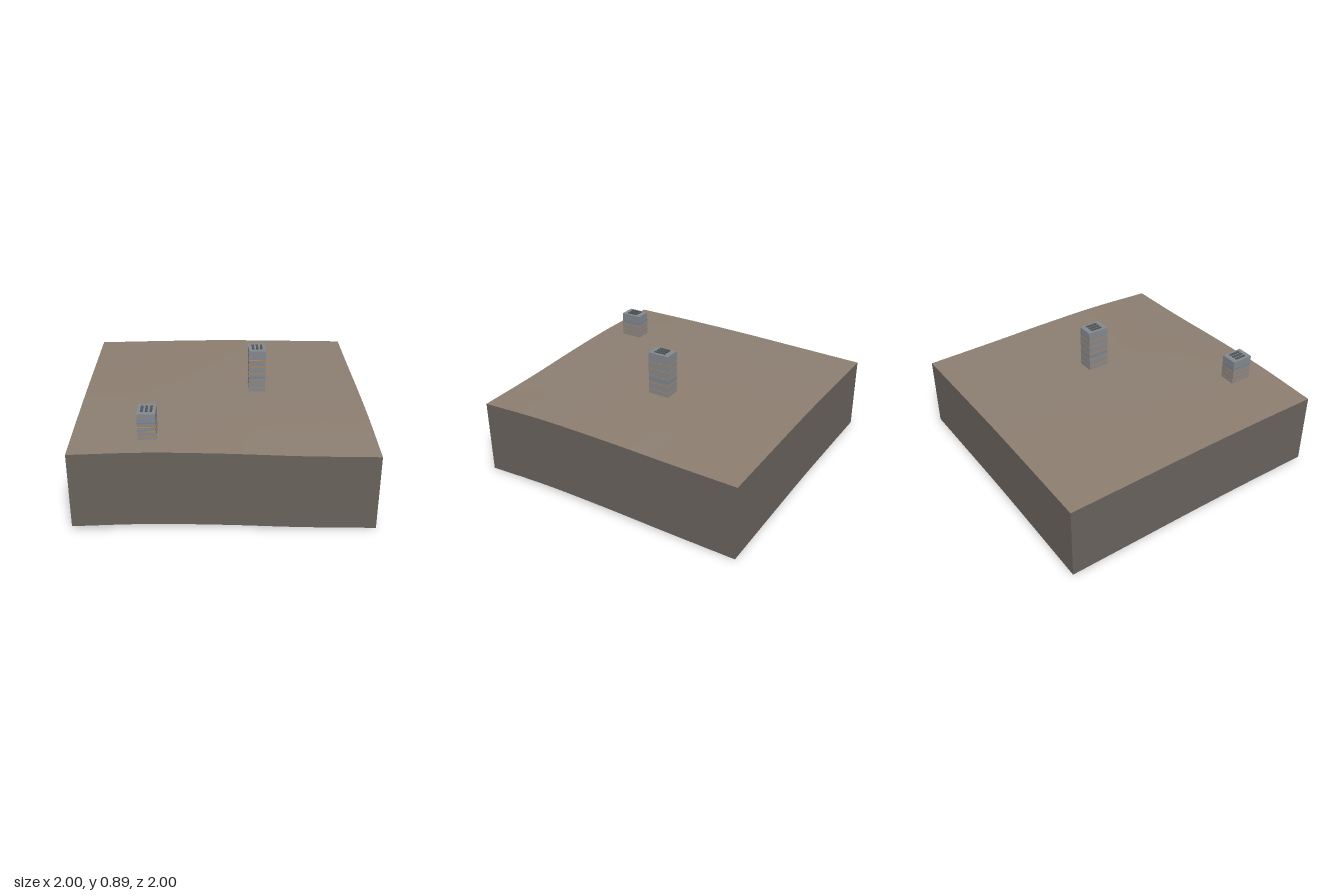
import * as THREE from 'three';

const mat = (name, color, side = THREE.FrontSide) => {
  const m = new THREE.MeshStandardMaterial({ color, side });
  m.name = name;
  return m;
};

const THICK = 0.535; // depth of the earth skirt

// relief above the lowest corner: rows run z = -1..1, columns x = -1..1
const RELIEF = [
  [0.004, 0.013, 0.018, 0.011, 0.002],
  [0.016, 0.026, 0.03, 0.02, 0.009],
  [0.028, 0.038, 0.038, 0.03, 0.02],
  [0.033, 0.044, 0.041, 0.03, 0.021],
  [0.031, 0.044, 0.033, 0.011, 0.0],
];

// smooth interpolation through evenly spaced values, t = -1..1
function smooth(v, t) {
  const n = v.length - 1;
  const p = THREE.MathUtils.clamp((t + 1) / 2, 0, 1) * n;
  const i = Math.min(Math.floor(p), n - 1), f = p - i;
  const a = v[i], b = v[i + 1];
  const ma = i > 0 ? (b - v[i - 1]) / 2 : b - a;
  const mb = i < n - 1 ? (v[i + 2] - a) / 2 : b - a;
  return THREE.MathUtils.lerp(a, b, f * f * (3 - 2 * f))
    + ma * f * (1 - f) ** 2 - mb * f * f * (1 - f);
}
const relief = (x, z) => Math.max(0, smooth(RELIEF.map((row) => smooth(row, x)), z));

function drape(geo, yAt) {
  const p = geo.attributes.position;
  for (let i = 0; i < p.count; i++) {
    p.setY(i, yAt(p.getY(i)) + relief(p.getX(i), p.getZ(i)));
  }
  geo.computeVertexNormals();
  return geo;
}

export function createModel() {
  const ground = mat('ground earth', 0x8b7d70, THREE.DoubleSide);
  const soil = mat('cut soil', 0x68615c, THREE.DoubleSide);
  const concrete = mat('concrete grey', 0x82878c);
  const orange = mat('orange band', 0xc08040);
  const blue = mat('blue band', 0x5c7c98);
  const dark = mat('roof vent grey', 0x505356);

  const model = new THREE.Group();
  model.name = 'terrainTile';
  const add = (parent, name, geo, material, x = 0, y = 0, z = 0) => {
    const mesh = new THREE.Mesh(geo, material);
    mesh.name = name;
    mesh.position.set(x, y, z);
    parent.add(mesh);
    return mesh;
  };

  // rolling ground surface, open underneath
  const top = new THREE.PlaneGeometry(2, 2, 24, 24).rotateX(-Math.PI / 2);
  add(model, 'groundSurface', drape(top, () => THICK), ground);

  // four skirt walls whose upper and lower edges follow the relief
  ['front', 'left', 'back', 'right'].forEach((side, k) => {
    const wall = new THREE.PlaneGeometry(2, 1, 24, 1)
      .translate(0, 0, 1).rotateY(k * Math.PI / 2);
    add(model, side + 'SkirtWall', drape(wall, (y) => (y > 0 ? THICK : 0)), soil);
  });

  // towers: block, floor bands and three roof vents
  const W = 0.12, D = 0.16;
  function tower(name, x, z, base, roof, bands, blueBands) {
    const g = new THREE.Group();
    g.name = name;
    g.position.set(x, 0, z);
    model.add(g);
    add(g, 'towerBlock', new THREE.BoxGeometry(W, roof - base, D), concrete, 0, (roof + base) / 2, 0);
    const band = new THREE.BoxGeometry(W + 0.002, 0.005, D + 0.002);
    bands.forEach((y) => add(g, 'floorBand', band, orange, 0, y, 0));
    blueBands.forEach((y) => add(g, 'glassBand', band, blue, 0, y, 0));
    const vent = new THREE.BoxGeometry(0.016, 0.008, 0.084);
    for (const i of [-1, 0, 1]) add(g, 'roofVent', vent, dark, i * 0.03, roof + 0.003, 0);
  }
  tower('tallTower', 0.25, 0, 0.55, 0.885, [0.6, 0.655, 0.71, 0.765, 0.815], [0.683]);
  tower('shortTower', -0.5, 0.75, 0.56, 0.76, [0.6, 0.635, 0.668], [0.7]);

  return model;
}
